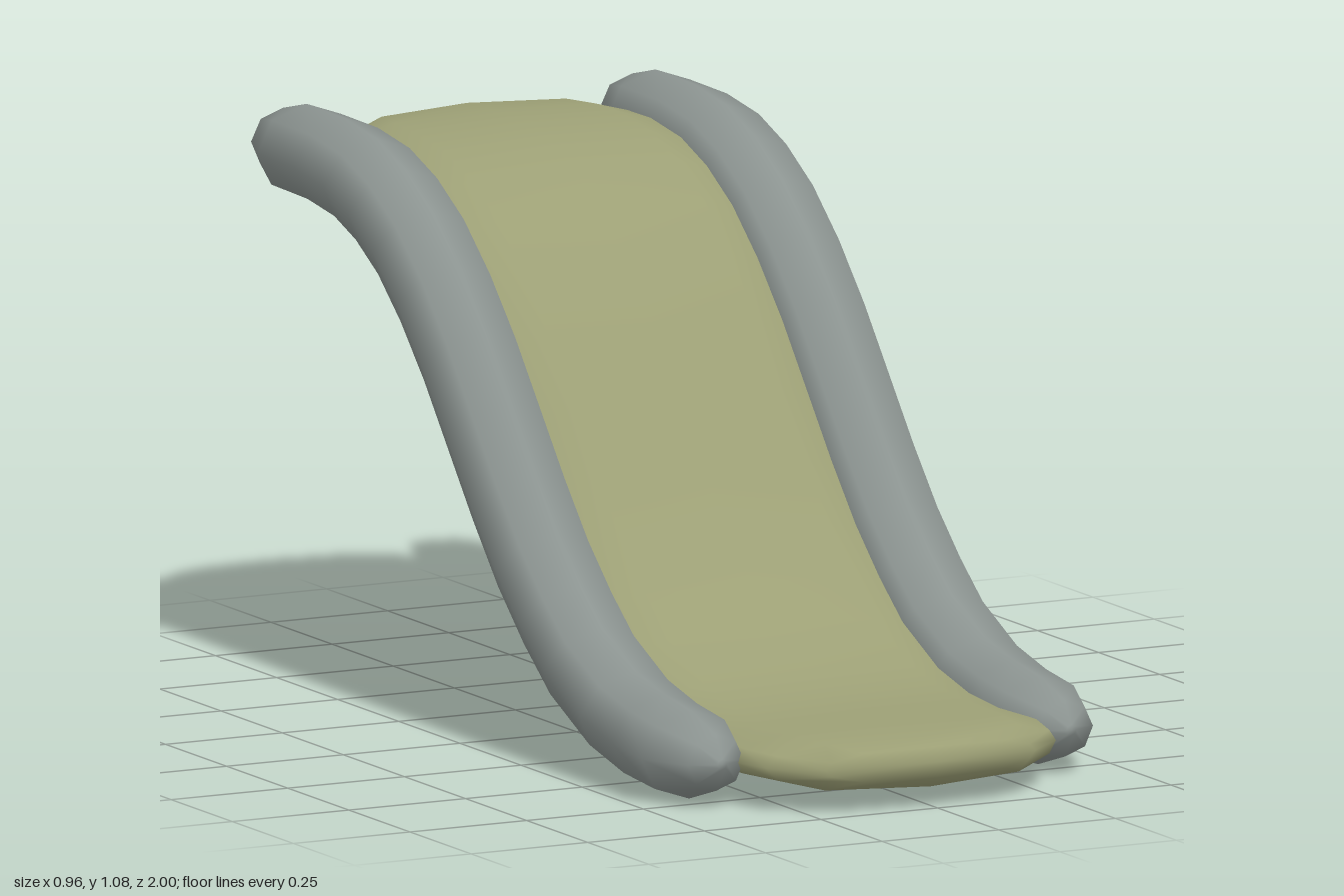
import * as THREE from 'three';

// Shared S-shaped centre line as [z, y], from the low front to the high back
const MID = [[0.58, 0.098], [0.45, 0.126], [0.3, 0.192], [0.2, 0.266], [0.1, 0.354], [0, 0.462], [-0.1, 0.58],
  [-0.2, 0.698], [-0.3, 0.8], [-0.4, 0.882], [-0.5, 0.938], [-0.6, 0.973], [-0.72, 0.989]];

// Lofts a section [u, n] along stations { z, y, w, h, bow };
// bow bends each end ring so that its corners sit further in.
function loft(stations, section) {
  const pos = [], index = [], m = section.length, last = stations.length - 1;
  stations.forEach((s, i) => {
    const a = stations[Math.max(i - 1, 0)], b = stations[Math.min(i + 1, last)];
    const len = Math.hypot(b.z - a.z, b.y - a.y);
    const tz = (b.z - a.z) / len, ty = (b.y - a.y) / len;
    for (const [u, n] of section) {
      const back = s.bow * u * u;
      pos.push(u * s.w, s.y - tz * n * s.h + ty * back, s.z + ty * n * s.h + tz * back);
    }
  });
  for (let i = 0; i < last; i++) {
    for (let j = 0; j < m; j++) {
      const a = i * m + j, b = i * m + (j + 1) % m;
      index.push(a, a + m, b, b, a + m, b + m);
    }
  }
  // End caps
  const c = pos.length / 3;
  for (const s of [stations[0], stations[last]]) pos.push(0, s.y, s.z);
  for (let j = 0; j < m; j++) {
    const k = (j + 1) % m;
    index.push(c, j, k, c + 1, last * m + k, last * m + j);
  }
  const geo = new THREE.BufferGeometry();
  geo.setAttribute('position', new THREE.Float32BufferAttribute(pos, 3));
  geo.setIndex(index);
  geo.computeVertexNormals();
  return geo;
}

const station = (z, y, w, h, bow = 0) => ({ z, y, w, h, bow });

export function createModel() {
  const group = new THREE.Group();
  const railMat = new THREE.MeshStandardMaterial({ color: 0x8b9390 });
  const bedMat = new THREE.MeshStandardMaterial({ color: 0x9c9f75 });

  // Side rails: eight-sided tubes with pointed, rounded ends
  const octagon = Array.from({ length: 8 }, (_, i) => {
    const a = i * Math.PI / 4;
    return [Math.cos(a), Math.sin(a)];
  });
  const railGeo = loft([
    station(0.833, 0.09, 0.01, 0.01),
    station(0.807, 0.089, 0.06, 0.054),
    station(0.7, 0.087, 0.104, 0.086),
    ...MID.map(([z, y]) => station(z, y, 0.104, 0.089)),
    station(-0.87, 0.991, 0.104, 0.088),
    station(-0.967, 0.995, 0.067, 0.06),
    station(-1, 0.997, 0.01, 0.01),
  ], octagon);
  for (const side of [1, -1]) {
    const rail = new THREE.Mesh(railGeo, railMat);
    rail.name = side > 0 ? 'leftRail' : 'rightRail';
    rail.position.x = side * 0.374;
    group.add(rail);
  }

  // Sliding bed: thin slab with soft edges and bowed ends
  const slab = [[1, 0], [0.94, 0.45], [0.67, 0.9], [0, 1], [-0.67, 0.9], [-0.94, 0.45],
    [-1, 0], [-0.94, -0.45], [-0.67, -0.9], [0, -1], [0.67, -0.9], [0.94, -0.45]];
  const bedGeo = loft([
    station(1, 0.09, 0.225, 0.03, 0.03),
    station(0.97, 0.088, 0.31, 0.05, 0.078),
    station(0.83, 0.087, 0.335, 0.054, 0.03),
    station(0.7, 0.087, 0.335, 0.054),
    ...MID.map(([z, y]) => station(z, y, 0.33, 0.052)),
    station(-0.82, 0.991, 0.32, 0.051, -0.01),
    station(-0.925, 0.991, 0.295, 0.047, -0.06),
    station(-0.957, 0.991, 0.22, 0.03, -0.028),
  ], slab);
  const bed = new THREE.Mesh(bedGeo, bedMat);
  bed.name = 'slideBed';
  group.add(bed);

  return group;
}
